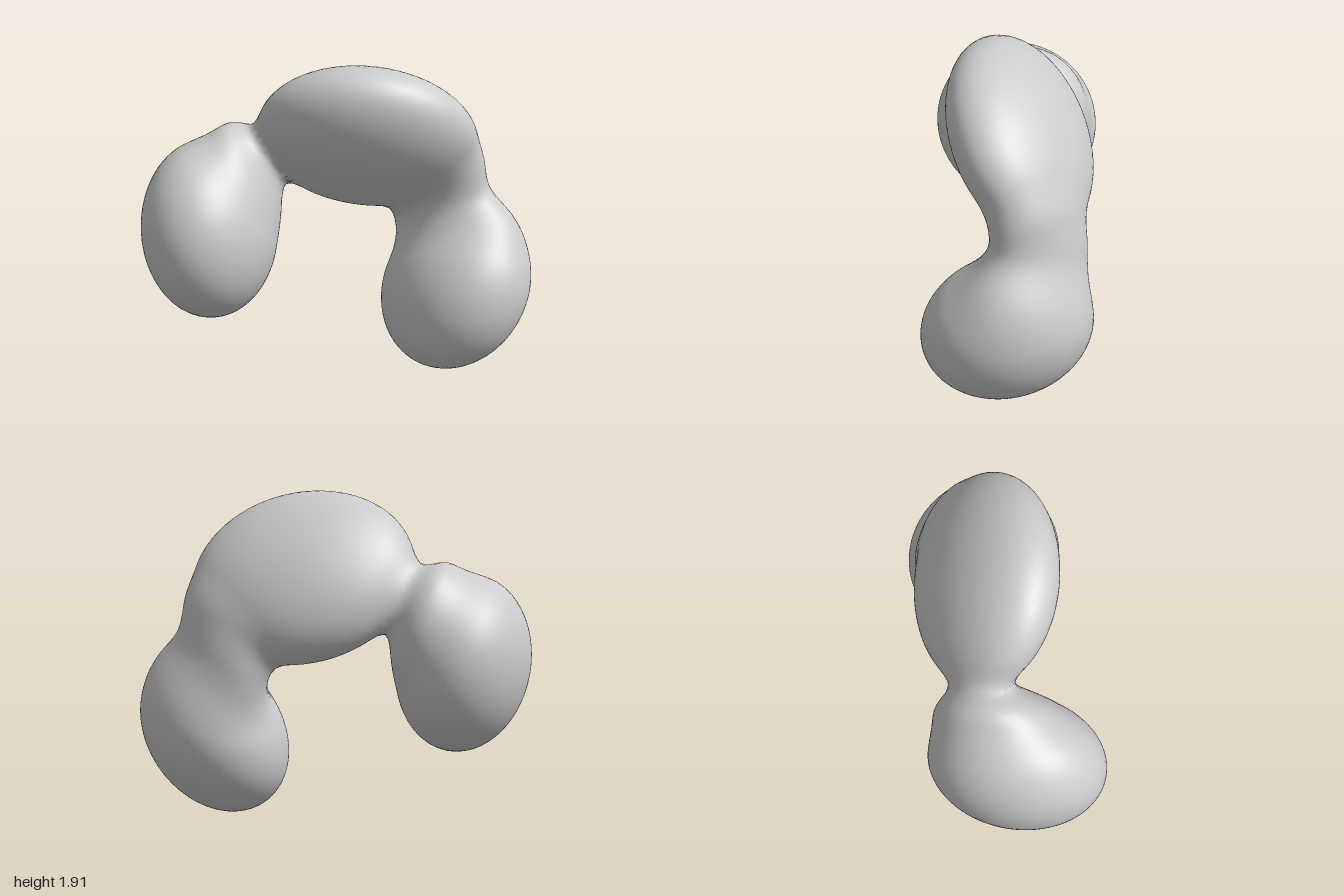
import * as THREE from 'three';

// An ellipsoid given by its centre and its squared half-extents (xx, yy, zz) plus lean terms (xy, xz, yz)
function blob(center, [xx, yy, zz], [xy, xz, yz]) {
  const inv = new THREE.Matrix3().set(xx, xy, xz, xy, yy, yz, xz, yz, zz).invert();
  const c = new THREE.Vector3(...center), d = new THREE.Vector3(), g = new THREE.Vector3();
  return (p) => {
    d.copy(p).sub(c);
    g.copy(d).applyMatrix3(inv);
    const q = Math.sqrt(Math.max(d.dot(g), 1e-9));
    return q * (q - 1) / Math.max(g.length(), 1e-6);
  };
}

const lobes = [
  blob([0.07, 1.43, -0.2], [0.322, 0.232, 0.27], [0.035, -0.123, 0.1]),      // leaning arch
  blob([-0.52, 1.2, 0.24], [0.042, 0.1, 0.08], [-0.012, 0.024, 0.018]),      // neck above the front foot
  blob([-0.585, 0.915, 0.475], [0.174, 0.275, 0.246], [-0.018, 0.046, 0]),   // front foot
  blob([0.34, 1.08, -0.58], [0.08, 0.07, 0.031], [0.028, 0, 0]),             // neck above the rear foot
  blob([0.42, 0.84, -0.62], [0.14, 0.08, 0.042], [0, 0, 0]),                 // shoulder of the rear foot
  blob([0.505, 0.49, -0.52], [0.236, 0.24, 0.203], [0.025, 0.022, -0.046]),  // rear foot
];

// Smooth union of the lobes: negative inside
const BLEND = 0.16;
function field(p) {
  return lobes.map((f) => f(p)).reduce((a, b) => {
    const h = Math.max(BLEND - Math.abs(a - b), 0) / BLEND;
    return Math.min(a, b) - h * h * BLEND / 4;
  });
}

function gradient(p) {
  const e = 0.004, q = p.clone(), g = new THREE.Vector3();
  for (let a = 0; a < 3; a++) {
    const v = p.getComponent(a);
    const hi = field(q.setComponent(a, v + e));
    const lo = field(q.setComponent(a, v - e));
    q.setComponent(a, v);
    g.setComponent(a, (hi - lo) / (2 * e));
  }
  return g;
}

// Skin the field: one vertex per crossed grid cell, one quad per crossed grid edge
function skin(n, size, origin) {
  const step = size / n, m = n + 1, stride = [1, m, m * m];
  const at = (i, j, k) => new THREE.Vector3(i, j, k).multiplyScalar(step).add(origin);
  const id = (i, j, k) => i + j * m + k * m * m;
  const inside = new Uint8Array(m * m * m);
  for (let k = 0; k < m; k++) for (let j = 0; j < m; j++) for (let i = 0; i < m; i++) {
    inside[id(i, j, k)] = field(at(i, j, k)) < 0 ? 1 : 0;
  }

  const vertexOf = new Map(), positions = [], normals = [], index = [];
  for (let k = 0; k < n; k++) for (let j = 0; j < n; j++) for (let i = 0; i < n; i++) {
    let count = 0;
    for (let c = 0; c < 8; c++) count += inside[id(i + (c & 1), j + ((c >> 1) & 1), k + (c >> 2))];
    if (count === 0 || count === 8) continue;
    const p = at(i + 0.5, j + 0.5, k + 0.5);
    for (let s = 0; s < 5; s++) {
      const g = gradient(p);
      p.addScaledVector(g, -field(p) / Math.max(g.lengthSq(), 0.2));
    }
    vertexOf.set(id(i, j, k), positions.length / 3);
    positions.push(...p.toArray());
    normals.push(...gradient(p).normalize().toArray());
  }

  for (let k = 1; k < n; k++) for (let j = 1; j < n; j++) for (let i = 1; i < n; i++) {
    const o = id(i, j, k);
    for (let a = 0; a < 3; a++) {
      if (inside[o] === inside[o + stride[a]]) continue;
      const b = stride[(a + 1) % 3], c = stride[(a + 2) % 3];
      const quad = [o, o - b, o - b - c, o - c].map((cell) => vertexOf.get(cell));
      if (!inside[o]) quad.reverse();
      index.push(quad[0], quad[1], quad[2], quad[0], quad[2], quad[3]);
    }
  }

  const geometry = new THREE.BufferGeometry();
  geometry.setAttribute('position', new THREE.Float32BufferAttribute(positions, 3));
  geometry.setAttribute('normal', new THREE.Float32BufferAttribute(normals, 3));
  geometry.setIndex(index);
  return geometry;
}

export function createModel() {
  const group = new THREE.Group();
  group.name = 'blobArch';

  const geometry = skin(60, 2.3, new THREE.Vector3(-1.15, -0.15, -1.15));

  // Stand on the ground, centred
  geometry.computeBoundingBox();
  const box = geometry.boundingBox, mid = box.getCenter(new THREE.Vector3());
  geometry.translate(-mid.x, -box.min.y, -mid.z);

  const body = new THREE.Mesh(geometry, new THREE.MeshStandardMaterial({ color: 0xcccccc }));
  body.name = 'archedBody';
  group.add(body);
  return group;
}
